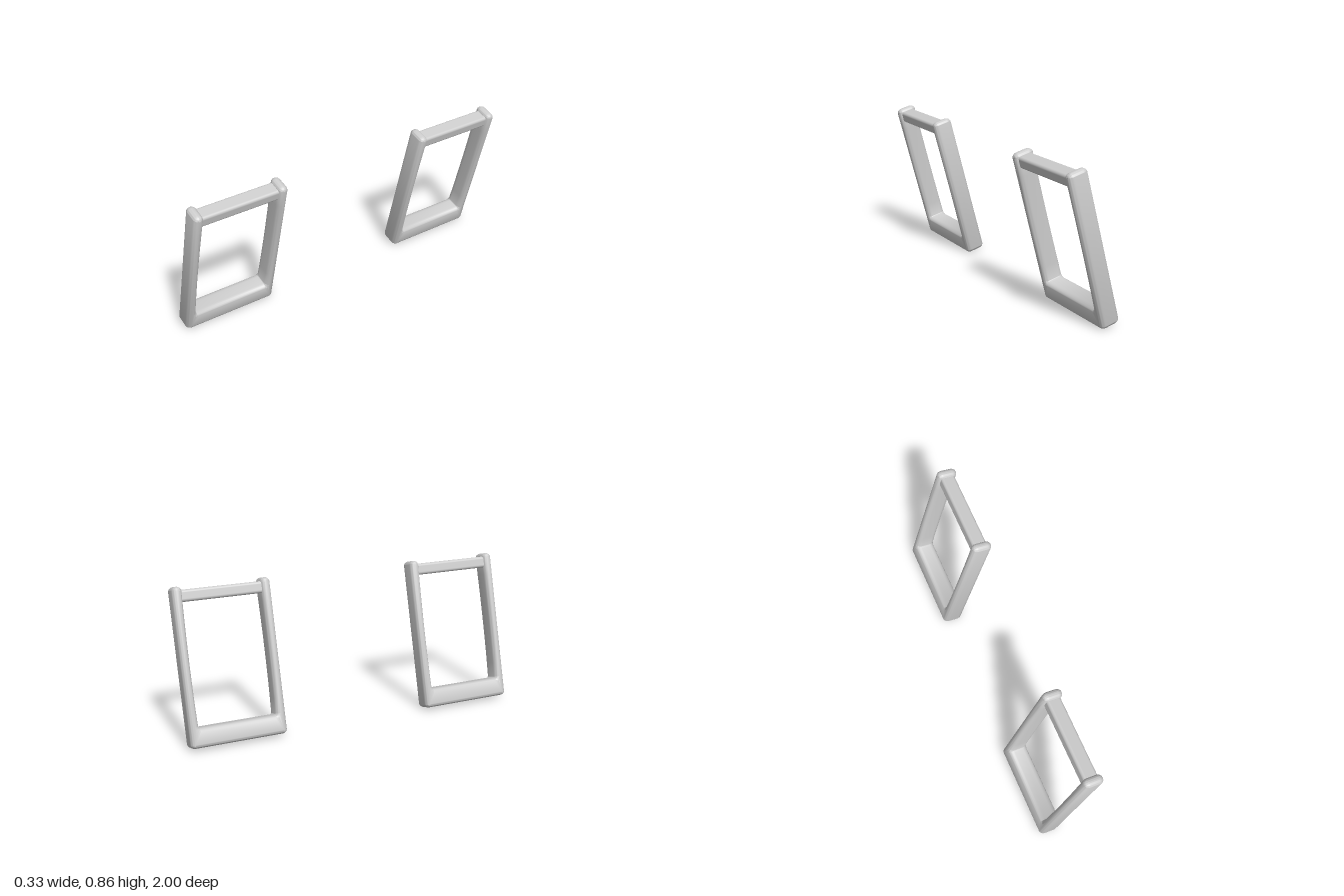
import * as THREE from 'three';
import { toCreasedNormals } from 'three/addons/utils/BufferGeometryUtils.js';
import { RoundedBoxGeometry } from 'three/addons/geometries/RoundedBoxGeometry.js';

const HALF_SPAN = 0.2785;   // half the distance across both posts
const HALF_HEIGHT = 0.437;  // half the length along the slope
const POST = 0.055;         // post thickness
const SILL = 0.11;          // bottom bar height
const DEPTH = 0.115;        // frame depth
const TILT = THREE.MathUtils.degToRad(15);

// U-shaped outline: two posts on a bottom bar, inner edges slightly waisted
function frameShape() {
  const H = HALF_SPAN, Y = HALF_HEIGHT, r = 0.026, f = 0.012;
  const inner = H - POST, floor = -Y + SILL, PI = Math.PI;
  const s = new THREE.Shape();
  s.absarc(-H + r, -Y + r, r, PI, 1.5 * PI);
  s.absarc(H - r, -Y + r, r, 1.5 * PI, 2 * PI);
  s.absarc(H - r, Y - r, r, 0, PI / 2);
  s.absarc(inner + r, Y - r, r, PI / 2, PI);
  s.quadraticCurveTo(inner + 0.01, 0, inner, floor + f);
  s.absarc(inner - f, floor + f, f, 0, -PI / 2, true);
  s.absarc(-inner + f, floor + f, f, -PI / 2, -PI, true);
  s.quadraticCurveTo(-inner - 0.01, 0, -inner, Y - r);
  s.absarc(-inner - r, Y - r, r, 0, PI / 2);
  s.absarc(-H + r, Y - r, r, PI / 2, PI);
  return s;
}

function frameGeometry() {
  const bevel = 0.03;
  const g = new THREE.ExtrudeGeometry(frameShape(), {
    depth: DEPTH - 2 * bevel, curveSegments: 8,
    bevelThickness: bevel, bevelSize: 0.022, bevelOffset: -0.022, bevelSegments: 6,
  });
  g.translate(0, 0, -(DEPTH - 2 * bevel) / 2);
  g.rotateY(Math.PI / 2);
  return toCreasedNormals(g, 0.7);
}

export function createModel() {
  const model = new THREE.Group();
  model.name = 'legFrames';
  const material = new THREE.MeshStandardMaterial({ color: 0xcccccc });
  const frameGeo = frameGeometry();
  const barGeo = new RoundedBoxGeometry(0.085, 0.066, 2 * HALF_SPAN - POST, 5, 0.016);

  // One leaning leg frame at each end
  for (const [name, side] of [['frontLeg', 1], ['backLeg', -1]]) {
    const leg = new THREE.Group();
    leg.name = name;
    const frame = new THREE.Mesh(frameGeo, material);
    frame.name = 'postsAndBottomBar';
    const bar = new THREE.Mesh(barGeo, material);
    bar.name = 'topCrossbar';
    bar.position.y = 0.385;
    leg.add(frame, bar);
    leg.position.set(0, 0.43, side * 0.7215);
    leg.rotation.z = -TILT;
    model.add(leg);
  }
  return model;
}
